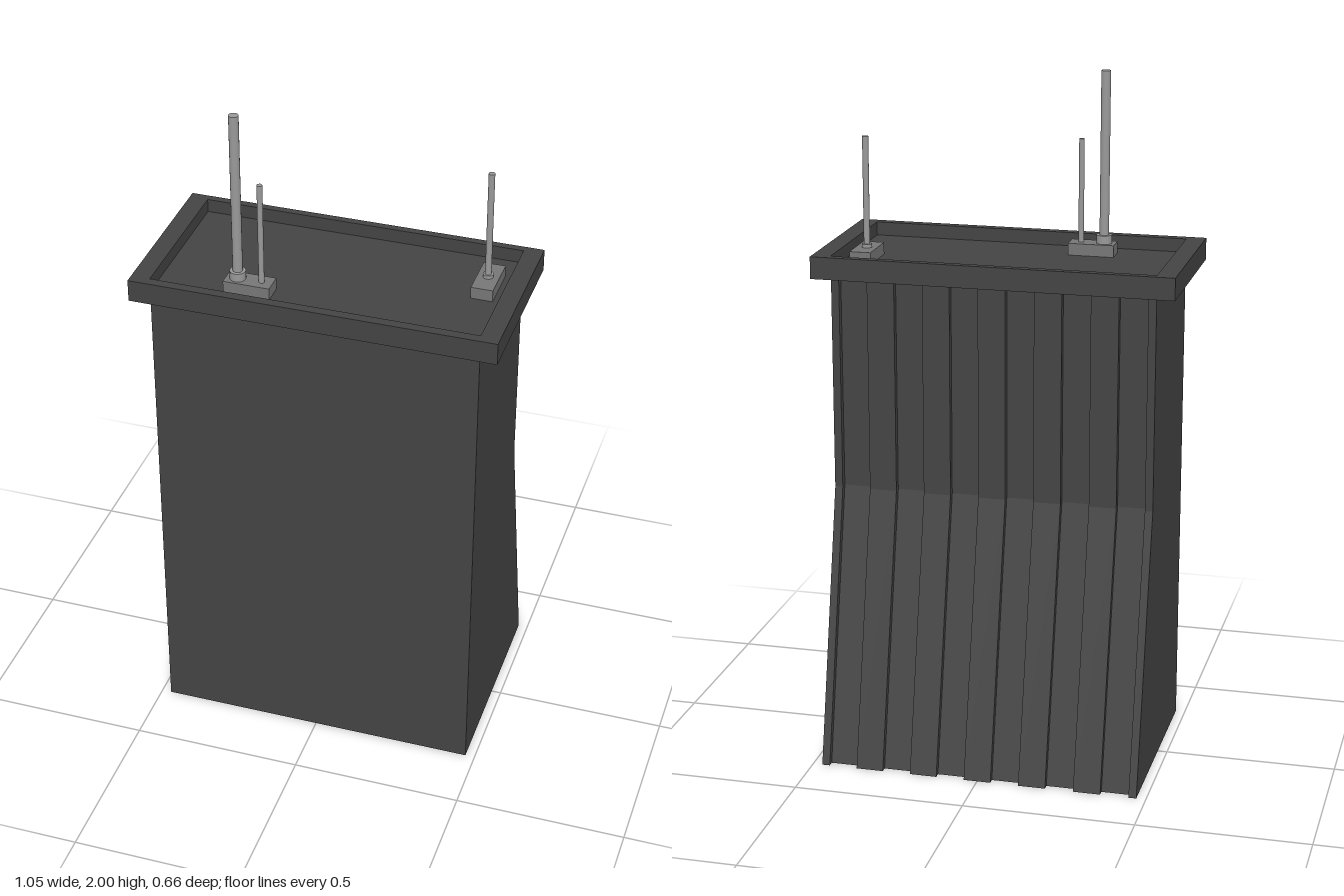
import * as THREE from 'three';

const shell = new THREE.MeshStandardMaterial({ color: 0x444444, flatShading: true });
const fitting = new THREE.MeshStandardMaterial({ color: 0x777777, flatShading: true });
const metal = new THREE.MeshStandardMaterial({ color: 0x999999 });

const FRONT = 0.305, KINK = 0.81, RIM_BASE = 1.435, FLOOR = 1.46, RIM_TOP = 1.5;

export function createModel() {
  const model = new THREE.Group();

  function add(name, geometry, material, x = 0, y = 0, z = 0) {
    const mesh = new THREE.Mesh(geometry, material);
    mesh.name = name;
    mesh.position.set(x, y, z);
    model.add(mesh);
  }

  // Extrudes a side profile of [z, y] points across the given width in x
  function sideProfile(points, width) {
    const shape = new THREE.Shape(points.map(([z, y]) => new THREE.Vector2(z, y)));
    return new THREE.ExtrudeGeometry(shape, { depth: width, bevelEnabled: false })
      .translate(0, 0, -width / 2).rotateY(-Math.PI / 2);
  }

  // Box given by its lower and upper bounds
  function block(name, material, x0, x1, y0, y1, z0, z1) {
    add(name, new THREE.BoxGeometry(x1 - x0, y1 - y0, z1 - z0), material,
      (x0 + x1) / 2, (y0 + y1) / 2, (z0 + z1) / 2);
  }

  // Upright rod from the fitting to the given height
  function rod(name, x, z, radius, top, bottom = 1.47) {
    add(name, new THREE.CylinderGeometry(radius, radius, top - bottom, 16), metal,
      x, (top + bottom) / 2, z);
  }

  // Body: straight front, back flaring out towards the ground
  add('body', sideProfile([
    [FRONT, 0], [FRONT, RIM_BASE], [-0.135, RIM_BASE], [-0.135, KINK], [-0.315, 0],
  ], 0.944), shell);

  // Raised ribs down the back, narrow at both edges
  const ribProfile = [
    [-0.315, 0], [-0.135, KINK], [-0.135, RIM_BASE],
    [-0.155, RIM_BASE], [-0.155, KINK], [-0.334, 0],
  ];
  for (let i = -2; i <= 2; i++) add('backRib', sideProfile(ribProfile, 0.08), shell, i * 0.163);
  for (const side of [-1, 1]) add('edgeRib', sideProfile(ribProfile, 0.023), shell, side * 0.4605);

  // Overhanging rim around the sunken top
  const rect = (P, x, z0, z1) => new P([[-x, -z1], [x, -z1], [x, -z0], [-x, -z0]]
    .map(([a, b]) => new THREE.Vector2(a, b)));
  const rimShape = rect(THREE.Shape, 0.527, -0.177, 0.331);
  rimShape.holes.push(rect(THREE.Path, 0.472, -0.155, 0.303));
  add('rim', new THREE.ExtrudeGeometry(rimShape, { depth: RIM_TOP - RIM_BASE, bevelEnabled: false })
    .rotateX(-Math.PI / 2), shell, 0, RIM_BASE);
  block('topPanel', shell, -0.472, 0.472, RIM_BASE, FLOOR, -0.155, 0.303);

  // Front fitting with a tall and a short rod
  block('frontFitting', fitting, -0.279, -0.144, FLOOR, 1.495, 0.186, 0.247);
  rod('tallRodCollar', -0.245, 0.217, 0.023, 1.52);
  rod('tallRod', -0.245, 0.217, 0.014, 2);
  rod('shortRod', -0.176, 0.217, 0.008, 1.8);

  // Side fitting with a single rod
  block('sideFitting', fitting, 0.38, 0.443, FLOOR, 1.495, -0.069, 0.069);
  rod('sideRodCollar', 0.411, 0, 0.015, 1.505);
  rod('sideRod', 0.411, 0, 0.009, 1.82);

  return model;
}
